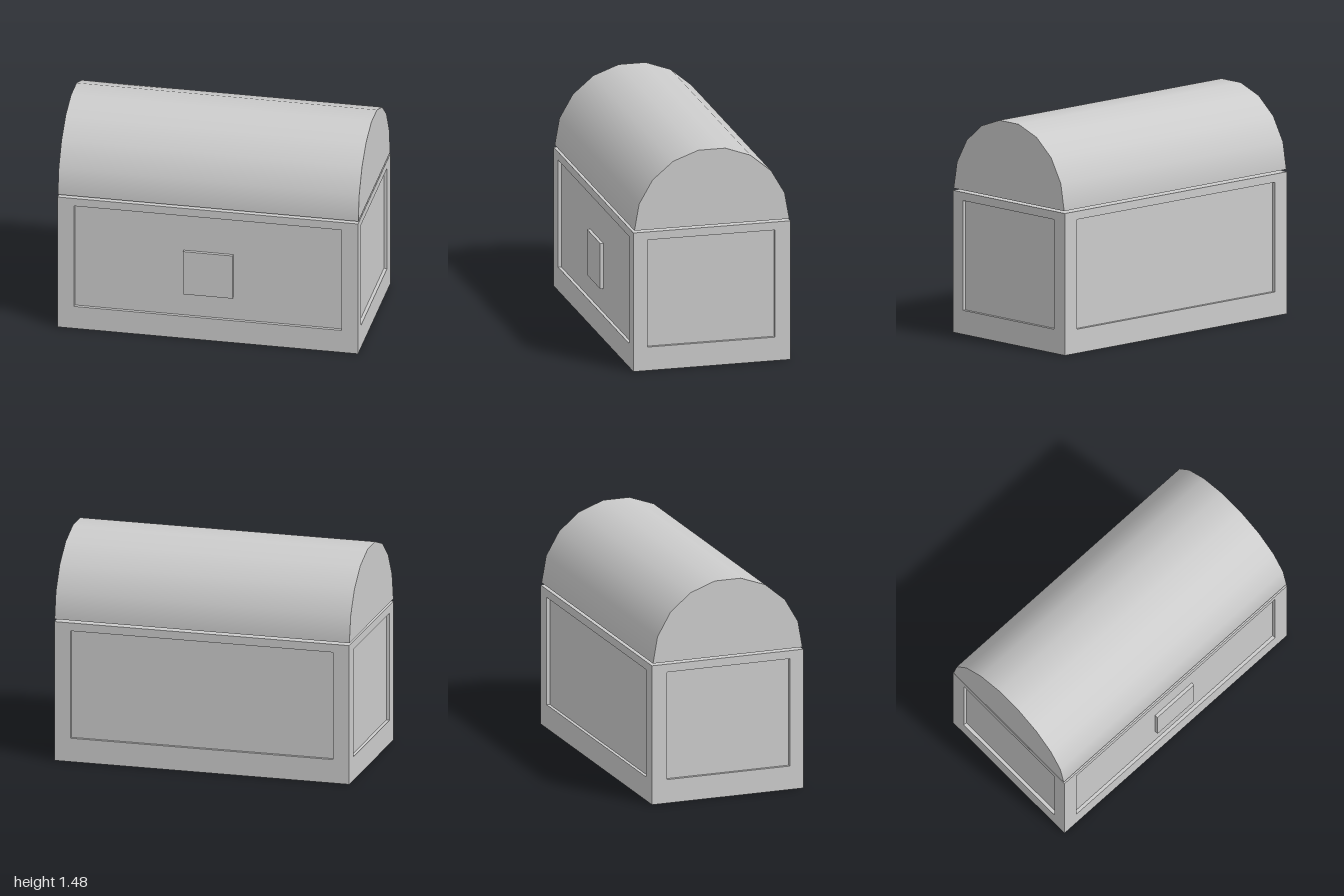
import * as THREE from 'three';

const W = 2, D = 1.06, H = 0.945, RECESS = 0.022;
const LID_Y = 0.96, LID_R = 0.523;

export function createModel() {
  const chest = new THREE.Group();
  chest.name = 'chest';
  const material = new THREE.MeshStandardMaterial({ color: 0xcccccc });

  const add = (name, geometry, parent = chest) => {
    const mesh = new THREE.Mesh(geometry, material);
    mesh.name = name;
    parent.add(mesh);
    return mesh;
  };

  // Frame lying in the xy plane with a rectangular opening, thickness along +z
  const frameGeometry = (width, x0, x1, y0, y1) => {
    const w = width / 2;
    const shape = new THREE.Shape([[-w, 0], [w, 0], [w, H], [-w, H]].map(p => new THREE.Vector2(...p)));
    shape.holes.push(new THREE.Path([[x0, y0], [x0, y1], [x1, y1], [x1, y0]].map(p => new THREE.Vector2(...p))));
    return new THREE.ExtrudeGeometry(shape, { depth: RECESS, bevelEnabled: false });
  };

  // Box body whose walls form the sunken panels
  const body = new THREE.Group();
  body.name = 'body';
  chest.add(body);
  add('bodyCore', new THREE.BoxGeometry(W - 2 * RECESS, H, D - 2 * RECESS).translate(0, H / 2, 0), body);

  // Raised borders around the front, back and side panels
  for (const s of [1, -1]) {
    const long = add(s > 0 ? 'frontFrame' : 'backFrame', frameGeometry(W, -0.89, 0.89, 0.16, 0.89), body);
    long.rotation.y = s > 0 ? 0 : Math.PI;
    long.position.z = s * (D / 2 - RECESS);

    const side = add(s > 0 ? 'leftFrame' : 'rightFrame',
      frameGeometry(D - 2 * RECESS, -0.43 - s * 0.005, 0.43 - s * 0.005, 0.16, 0.89), body);
    side.rotation.y = s * Math.PI / 2;
    side.position.x = s * (W / 2 - RECESS);
  }

  // Square lock plate in the front panel
  add('lockPlate', new THREE.BoxGeometry(0.33, 0.31, RECESS).translate(0, 0.475, D / 2 - RECESS / 2));

  // Barrel lid floating just above the body
  const lid = new THREE.Group();
  lid.name = 'lid';
  lid.position.y = LID_Y;
  chest.add(lid);
  add('lidBarrel', new THREE.CylinderGeometry(LID_R, LID_R, W, 9, 1, false, 0, Math.PI).rotateZ(Math.PI / 2), lid);
  add('lidUnderside', new THREE.PlaneGeometry(W, 2 * LID_R).rotateX(Math.PI / 2), lid);

  return chest;
}
